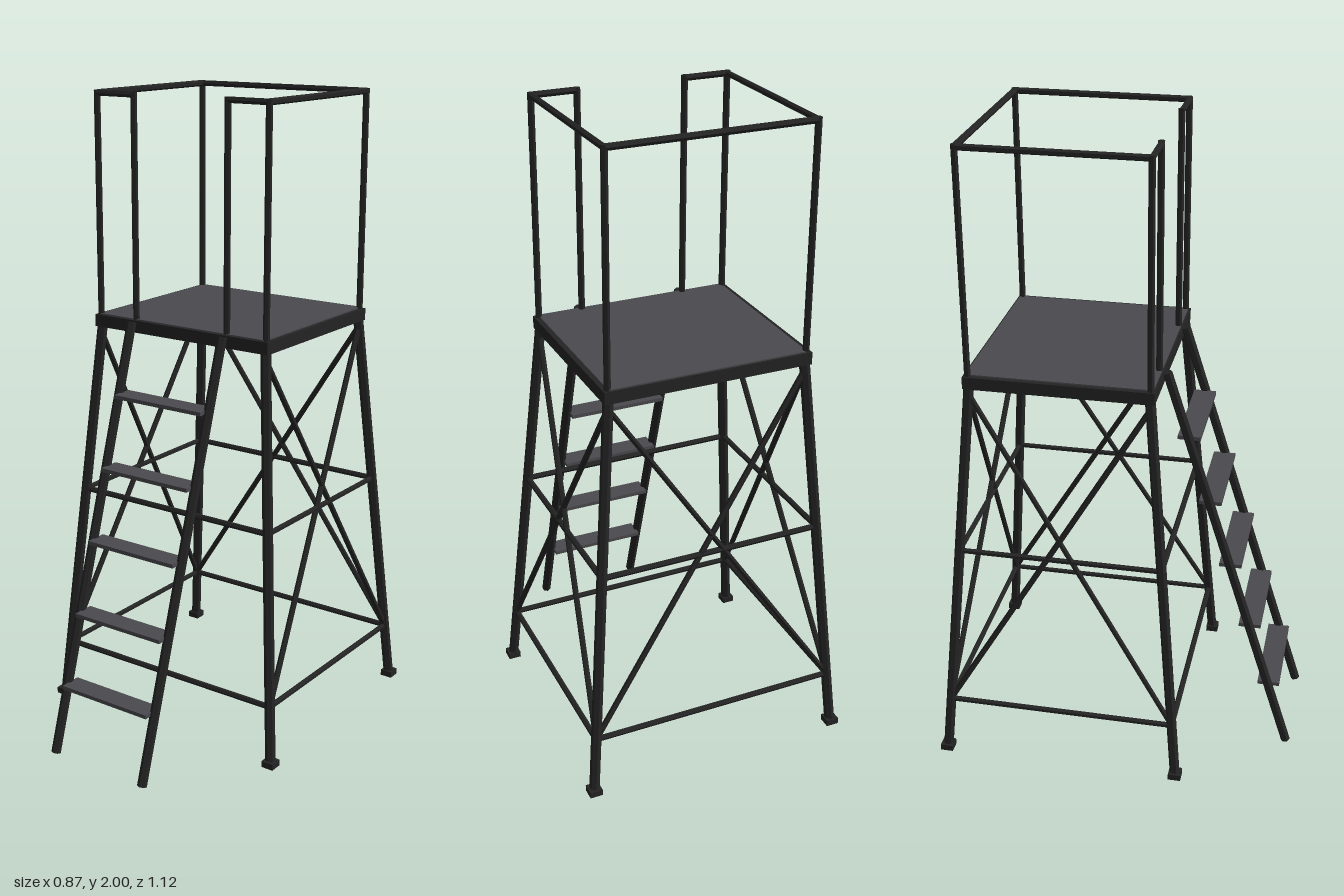
import * as THREE from 'three';

const frame = new THREE.MeshStandardMaterial({ color: 0x242424, flatShading: true });
frame.name = 'dark frame';
const plate = new THREE.MeshStandardMaterial({ color: 0x4a4a4f, flatShading: true });
plate.name = 'grey plate';

const CZ = -0.164; // centre of the tower along z
const UP = new THREE.Vector3(0, 1, 0);

export function createModel() {
  const model = new THREE.Group();
  model.name = 'watchPlatform';

  // six-sided bar between two points
  const bar = (name, a, b, r) => {
    const p = new THREE.Vector3(...a), q = new THREE.Vector3(...b);
    const d = q.clone().sub(p);
    const m = new THREE.Mesh(new THREE.CylinderGeometry(r, r, d.length(), 6), frame);
    m.position.copy(p).add(q).multiplyScalar(0.5);
    m.quaternion.setFromUnitVectors(UP, d.normalize());
    m.name = name;
    model.add(m);
  };
  const box = (name, size, pos, mat) => {
    const m = new THREE.Mesh(new THREE.BoxGeometry(...size), mat);
    m.position.set(...pos);
    m.name = name;
    model.add(m);
  };

  // point on the leg at corner (sx, sz) and height y
  const corner = (sx, sz, y) => {
    const t = y / 1.28;
    return [sx * (0.414 - 0.107 * t), y, CZ + sz * (0.377 - 0.107 * t)];
  };
  const corners = [[1, 1], [1, -1], [-1, -1], [-1, 1]];

  // splayed legs and feet
  for (const [sx, sz] of corners) {
    bar('leg', corner(sx, sz, 0.005), corner(sx, sz, 1.28), 0.016);
    const f = corner(sx, sz, 0);
    box('foot', [0.04, 0.02, 0.04], [f[0], 0.01, f[2]], frame);
  }

  // horizontal braces all round, crossed braces on all sides but the ladder side
  corners.forEach((a, i) => {
    const b = corners[(i + 1) % 4];
    for (const y of [0.19, 0.73]) bar('horizontalBrace', corner(...a, y), corner(...b, y), 0.009);
    if (i === 3) return;
    bar('crossBrace', corner(...a, 0.19), corner(...b, 1.25), 0.009);
    bar('crossBrace', corner(...b, 0.19), corner(...a, 1.25), 0.009);
  });

  // platform
  box('platformFrame', [0.648, 0.038, 0.572], [0, 1.289, CZ], frame);
  box('platformDeck', [0.62, 0.004, 0.56], [0, 1.31, CZ], plate);

  // railing, open above the ladder
  const X = 0.31, Y = 1.99, F = CZ + 0.272, B = CZ - 0.272, G = 0.17, R = 0.01;
  for (const s of [1, -1]) {
    for (const [x, z] of [[X, F], [X, B], [G, F]]) bar('railPost', [s * x, 1.29, z], [s * x, Y + 0.008, z], R);
    bar('sideRail', [s * X, Y, F], [s * X, Y, B], R);
    bar('frontRail', [s * X, Y, F], [s * G, Y, F], R);
    // ladder stringer
    bar('ladderStringer', [s * G, 0.005, 0.542], [s * G, 1.306, 0.132], 0.015);
  }
  bar('backRail', [-X, Y, B], [X, Y, B], R);

  // ladder treads
  for (let i = 0; i < 5; i++) {
    box('ladderTread', [0.325, 0.012, 0.07], [0, 0.218 + i * 0.218, 0.475 - i * 0.069], plate);
  }
  return model;
}
